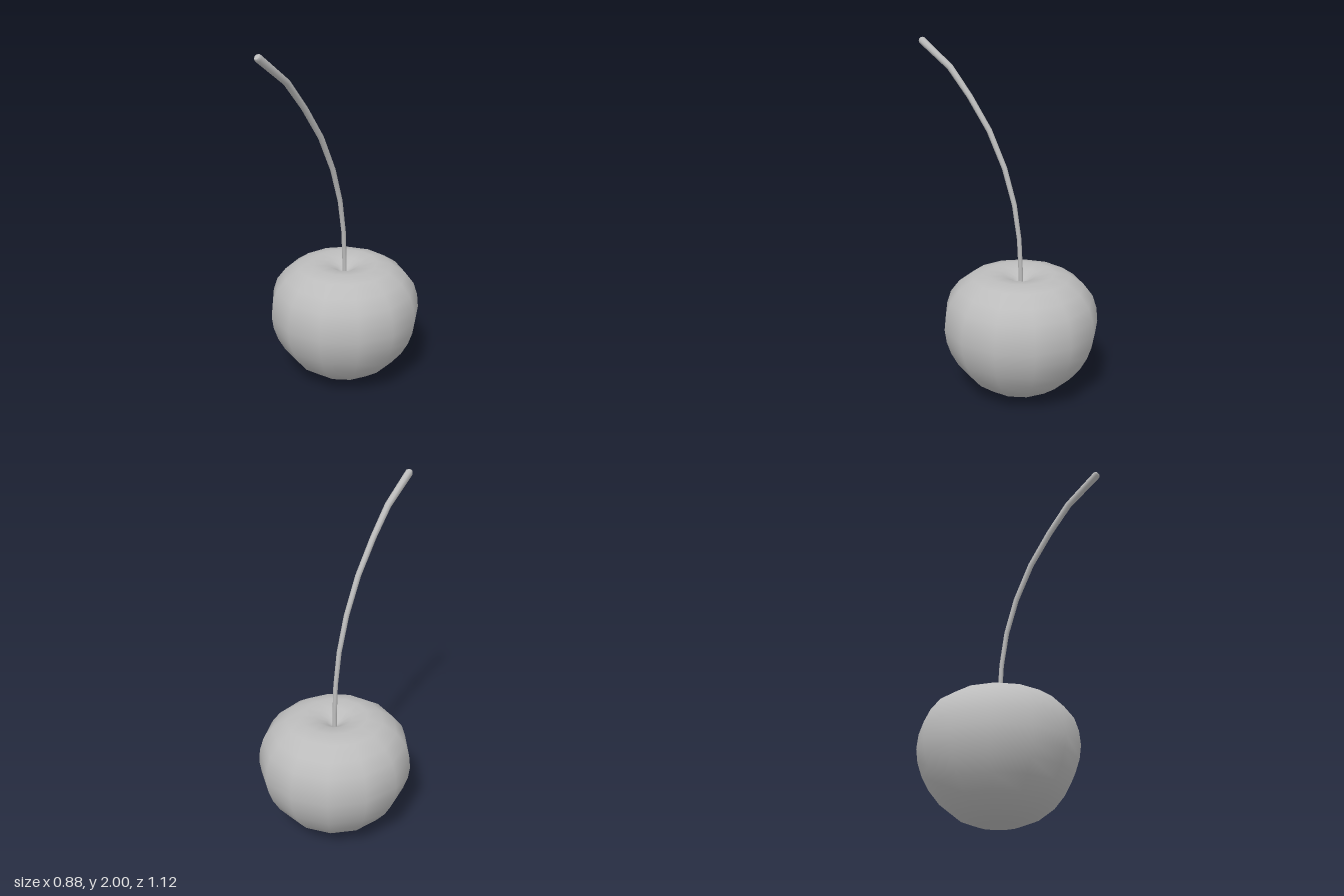
import * as THREE from 'three';

const CENTRE_Z = -0.12;

// Tapered tube through [z, y, radius] stations in the x = 0 plane
function sweptStem(stations, sides) {
  const pts = stations.map(([z, y]) => new THREE.Vector3(0, y, z));
  const positions = [];
  const index = [];
  const last = pts.length - 1;
  pts.forEach((p, i) => {
    const t = pts[Math.min(i + 1, last)].clone().sub(pts[Math.max(i - 1, 0)]).normalize();
    const r = stations[i][2];
    for (let j = 0; j < sides; j++) {
      const a = (j / sides) * Math.PI * 2;
      const s = Math.sin(a) * r;
      positions.push(Math.cos(a) * r, p.y + t.z * s, p.z - t.y * s);
    }
  });
  for (let i = 0; i < last; i++) {
    for (let j = 0; j < sides; j++) {
      const k = (j + 1) % sides;
      const a = i * sides + j, b = i * sides + k;
      index.push(a, b, a + sides, b, b + sides, a + sides);
    }
  }
  // Flat cap with its own vertices
  const base = positions.length / 3;
  positions.push(...positions.slice(last * sides * 3));
  for (let j = 1; j < sides - 1; j++) index.push(base, base + j, base + j + 1);
  const geometry = new THREE.BufferGeometry();
  geometry.setAttribute('position', new THREE.Float32BufferAttribute(positions, 3));
  geometry.setIndex(index);
  geometry.computeVertexNormals();
  return geometry;
}

export function createModel() {
  const model = new THREE.Group();
  model.name = 'cherry';
  const grey = new THREE.MeshStandardMaterial({ color: 0xbcbcbc });
  grey.name = 'plain grey';

  // Fruit: thirteen-sided lathe with a dimple on top
  const profile = [
    [0, 0], [0.12, 0.015], [0.22, 0.052], [0.31, 0.12], [0.37, 0.195],
    [0.41, 0.27], [0.435, 0.345], [0.445, 0.42], [0.437, 0.5], [0.413, 0.575],
    [0.36, 0.645], [0.28, 0.7], [0.19, 0.72], [0.1, 0.705], [0.045, 0.675], [0, 0.64],
  ].map(([r, y]) => new THREE.Vector2(r, y));
  const fruit = new THREE.Mesh(new THREE.LatheGeometry(profile, 13, -Math.PI / 2), grey);
  fruit.name = 'fruit';
  fruit.position.z = CENTRE_Z;
  model.add(fruit);

  // Stem: curves forward and thickens to a chamfered tip
  const stem = new THREE.Mesh(sweptStem([
    [-0.12, 0.62, 0.013], [-0.119, 0.73, 0.013], [-0.108, 0.915, 0.013],
    [-0.075, 1.11, 0.014], [-0.01, 1.31, 0.015], [0.09, 1.51, 0.016],
    [0.22, 1.69, 0.017], [0.35, 1.84, 0.019], [0.543, 1.98, 0.022],
    [0.552, 1.987, 0.015],
  ], 8), grey);
  stem.name = 'stem';
  model.add(stem);

  return model;
}
